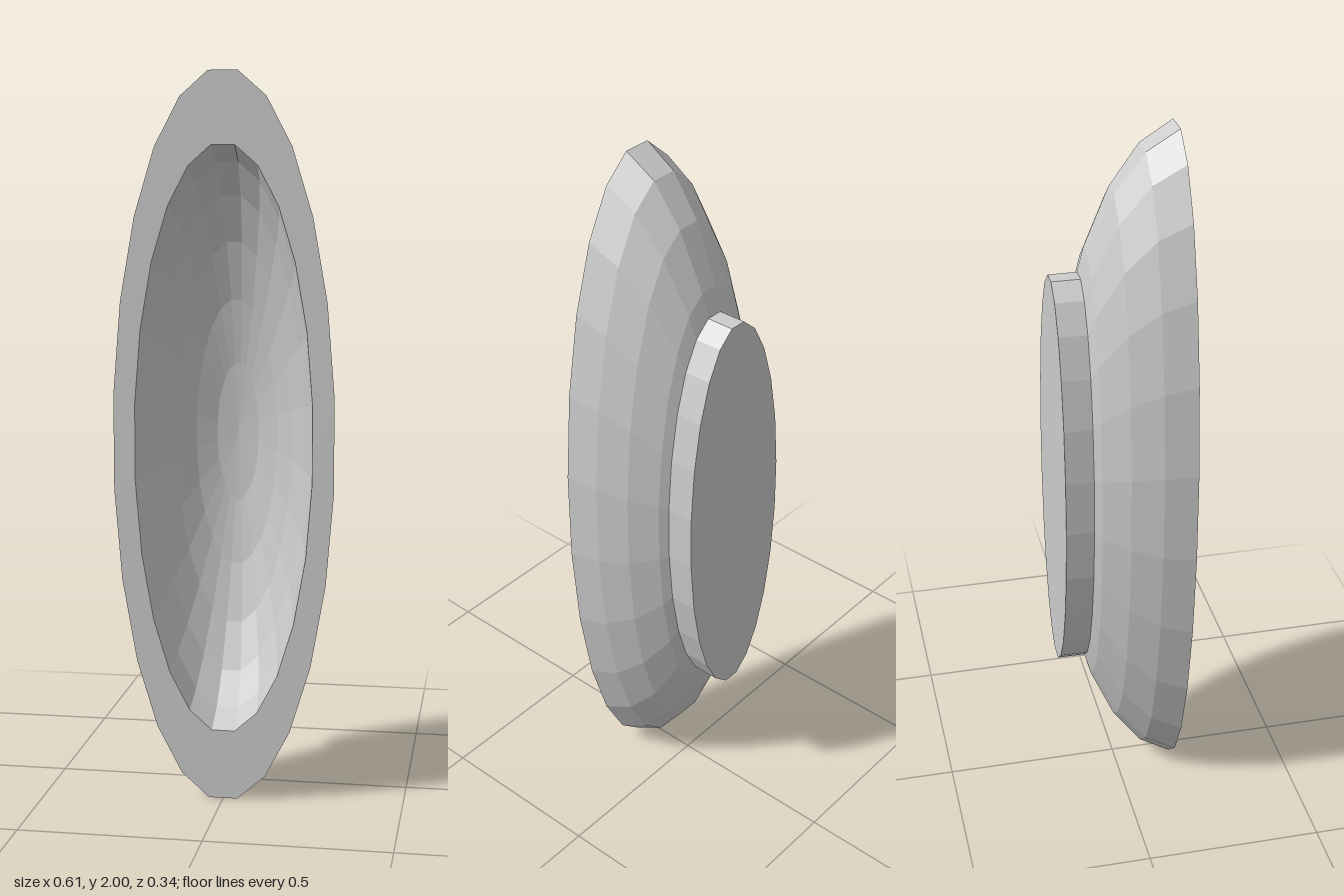
import * as THREE from 'three';

const SIDES = 24;
const RX = 0.304, RY = 1;            // half width and half height of the rim
const RIM_Z = 0.169, BACK_Z = -0.169;

// Revolve [radius, z] points about z, with flat sides facing x and y, then squash to an oval
function ovalLathe(name, points) {
  const profile = points.map(([r, z]) => new THREE.Vector2(r, z));
  const geometry = new THREE.LatheGeometry(profile, SIDES, Math.PI / SIDES);
  geometry.rotateX(Math.PI / 2);
  const k = 1 / Math.cos(Math.PI / SIDES);
  geometry.scale(RX * k, RY * k, 1);
  geometry.translate(0, 1, 0);
  const mesh = new THREE.Mesh(
    geometry,
    new THREE.MeshStandardMaterial({ color: 0xcccccc, flatShading: true })
  );
  mesh.name = name;
  return mesh;
}

// Spherical cap from pole to rim in 14 degree steps, as [radius, z]
function capProfile(scale) {
  const step = THREE.MathUtils.degToRad(14), end = 6 * step;
  const depth = (RIM_Z - BACK_Z) / (1 - Math.cos(end));
  const points = [];
  for (let i = 0; i <= 6; i++) {
    const a = i * step;
    points.push([
      scale * Math.sin(a) / Math.sin(end),
      RIM_Z - scale * depth * (Math.cos(a) - Math.cos(end)),
    ]);
  }
  return points;
}

export function createModel() {
  const model = new THREE.Group();
  model.name = 'ovalBowl';

  // Outer shell, flat rim and hollow in one profile
  model.add(ovalLathe('bowl', [...capProfile(1), ...capProfile(0.805).reverse()]));

  // Foot: closed at the back, open where it meets the bowl
  model.add(ovalLathe('foot', [[0, BACK_Z], [0.605, BACK_Z], [0.605, -0.09]]));

  return model;
}
